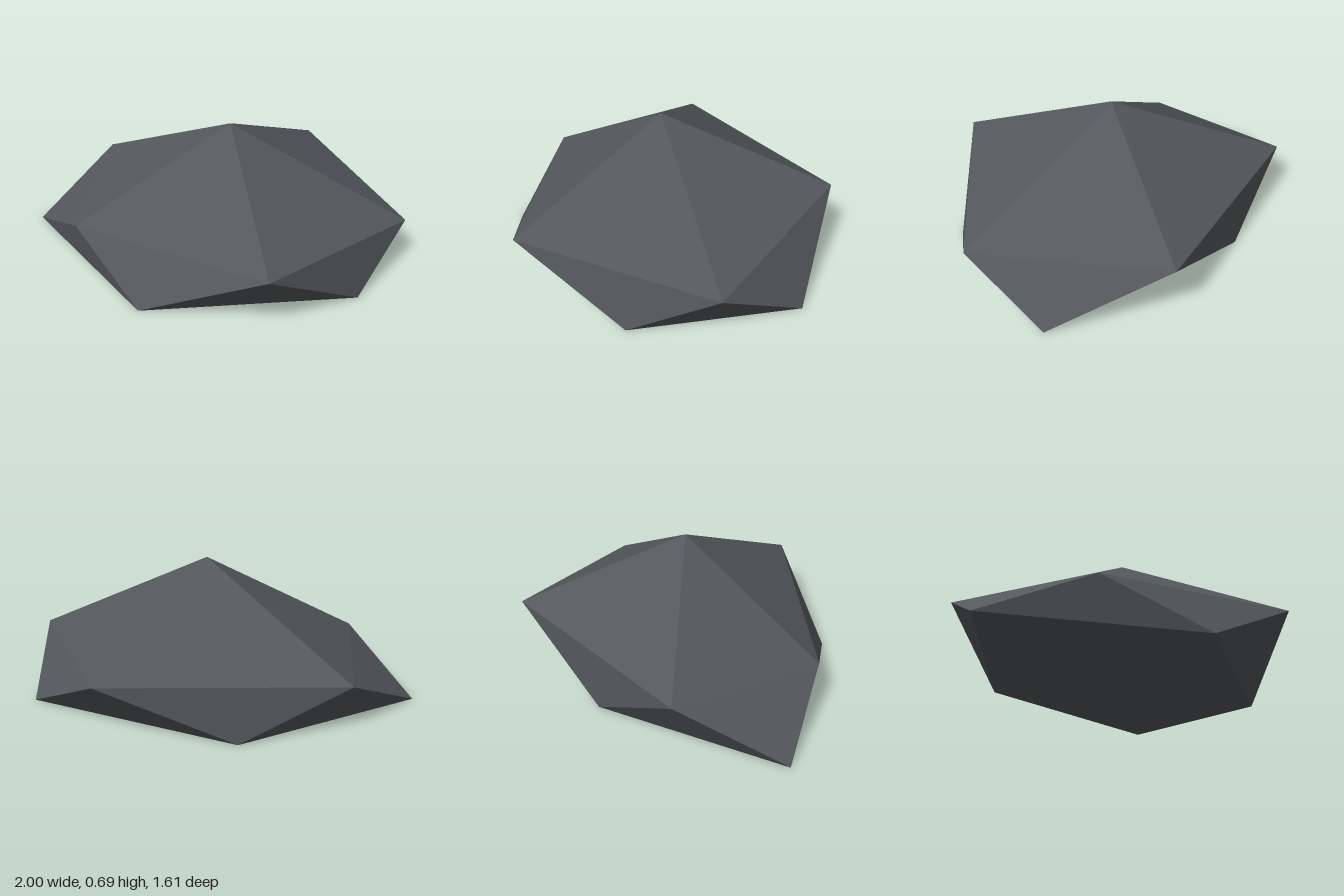
import * as THREE from 'three';

export function createModel() {
  const stone = new THREE.MeshStandardMaterial({ color: 0x54585c });
  stone.name = 'slate grey';

  // Peak, shoulder ring and ground ring, both rings running from +x towards +z
  const peak = [0.09, 0.69, 0];
  const shoulder = [
    [1, 0.24, 0], [0.42, 0.325, 0.805], [-0.63, 0.22, 0.38],
    [-0.715, 0.28, -0.45], [0.42, 0.325, -0.805],
  ];
  const ground = [
    [0.8, 0, 0.38], [-0.21, 0, 0.705], [-1, 0, 0],
    [-0.21, 0, -0.62], [0.895, 0, -0.45],
  ];

  const positions = [];
  const face = (...corners) => corners.forEach((c) => positions.push(...c));
  const n = shoulder.length;
  for (let i = 0; i < n; i++) {
    const j = (i + 1) % n;
    face(peak, shoulder[j], shoulder[i]); // top facet
    face(shoulder[i], shoulder[j], ground[i]); // facet pointing down
    face(ground[i], shoulder[j], ground[j]); // facet pointing up
    if (i > 0 && j > 0) face(ground[0], ground[i], ground[j]); // flat underside
  }

  // Unshared corners give every facet its own flat normal
  const geometry = new THREE.BufferGeometry();
  geometry.setAttribute('position', new THREE.Float32BufferAttribute(positions, 3));
  geometry.computeVertexNormals();

  const rock = new THREE.Mesh(geometry, stone);
  rock.name = 'rock';
  const group = new THREE.Group();
  group.name = 'facetedRock';
  group.add(rock);
  return group;
}
